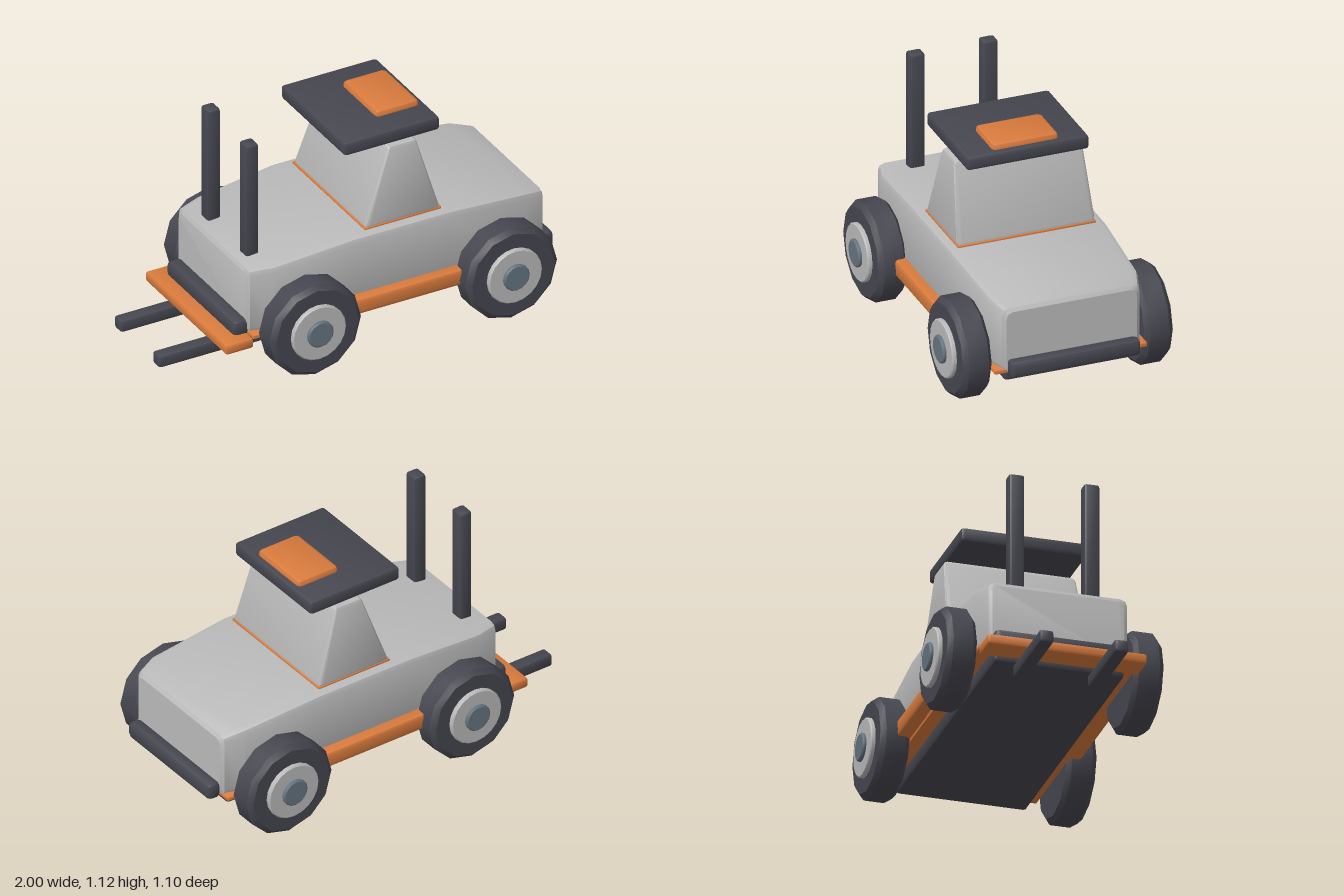
import * as THREE from 'three';
import { toCreasedNormals } from 'three/addons/utils/BufferGeometryUtils.js';
import { RoundedBoxGeometry } from 'three/addons/geometries/RoundedBoxGeometry.js';

const material = (name, color) => {
  const m = new THREE.MeshStandardMaterial({ color });
  m.name = name;
  return m;
};

export function createModel() {
  const grey = material('light grey', 0xbababa);
  const dark = material('charcoal', 0x464650);
  const orange = material('orange', 0xd87a3c);
  const steel = material('steel blue', 0x667480);
  const model = new THREE.Group();
  model.name = 'utilityVehicle';

  const add = (name, geometry, mat) => {
    const mesh = new THREE.Mesh(geometry, mat);
    mesh.name = name;
    model.add(mesh);
    return mesh;
  };

  // Bevelled block given by its min and max on each axis
  const block = (name, mat, [x0, x1], [y0, y1], [z0, z1], r = 0.015) => {
    const g = toCreasedNormals(new RoundedBoxGeometry(x1 - x0, y1 - y0, z1 - z0, 1, r), 0.5);
    g.translate((x0 + x1) / 2, (y0 + y1) / 2, (z0 + z1) / 2);
    return add(name, g, mat);
  };

  // Body: cross-sections along x as [x, half width, top height]
  const stations = [
    [-0.605, 0.315, 0.515], [-0.595, 0.33, 0.533], [-0.48, 0.365, 0.543], [-0.08, 0.387, 0.583],
    [0.42, 0.387, 0.583], [0.83, 0.368, 0.547], [0.925, 0.337, 0.522], [0.938, 0.32, 0.505],
  ];
  const rings = stations.map(([x, w, top]) => {
    const half = [[w - 0.01, 0.21], [w, 0.23], [w, top - 0.032], [w - 0.009, top - 0.009], [w - 0.032, top]];
    const mirrored = half.map(([z, y]) => [-z, y]).reverse();
    return [...half, ...mirrored].map(([z, y]) => [x, y, z]);
  });
  const n = rings[0].length;
  const positions = rings.flat(2);
  const index = [];
  for (let i = 0; i < rings.length - 1; i++) {
    for (let j = 0; j < n; j++) {
      const k = (j + 1) % n;
      const a = i * n + j, b = i * n + k, c = a + n, d = b + n;
      index.push(a, c, b, b, c, d);
    }
  }
  const last = (rings.length - 1) * n;
  for (let j = 1; j < n - 1; j++) {
    index.push(0, j, j + 1);
    index.push(last, last + j + 1, last + j);
  }
  const bodyGeometry = new THREE.BufferGeometry();
  bodyGeometry.setAttribute('position', new THREE.Float32BufferAttribute(positions, 3));
  bodyGeometry.setIndex(index);
  add('body', toCreasedNormals(bodyGeometry, 0.5), grey);

  // Cabin: bevelled box tapered towards the roof
  const cabin = new RoundedBoxGeometry(0.4, 0.39, 0.68, 1, 0.02);
  const p = cabin.attributes.position;
  for (let i = 0; i < p.count; i++) {
    const t = (p.getY(i) + 0.195) / 0.39;
    p.setXYZ(i, 0.2 + 0.012 * t + p.getX(i) * (1 - 0.64 * t), p.getY(i) + 0.775,
      p.getZ(i) * (1 - 0.08 * t));
  }
  add('cabin', toCreasedNormals(cabin, 0.5), grey);
  block('cabinTrim', orange, [0, 0.4], [0.57, 0.592], [-0.34, 0.34], 0.005);

  // Roof with its hatch
  block('roof', dark, [-0.083, 0.415], [0.975, 1.043], [-0.3, 0.3]);
  block('roofHatch', orange, [0.16, 0.385], [0.966, 1.07], [-0.163, 0.163], 0.02);

  // Underside and bumpers
  block('basePlate', orange, [-0.6, 0.932], [0.195, 0.216], [-0.375, 0.375], 0.005);
  block('chassis', dark, [-0.62, 0.89], [0.13, 0.21], [-0.31, 0.31]);
  block('frontBumper', dark, [0.93, 1], [0.19, 0.272], [-0.32, 0.32], 0.022);
  block('rearBumper', dark, [-0.67, -0.585], [0.19, 0.272], [-0.32, 0.32], 0.022);
  block('forkCarriage', orange, [-0.745, -0.6], [0.155, 0.205], [-0.38, 0.38], 0.012);

  // Turned part along z, from a profile of [radius, distance from centre line]
  const turned = (name, mat, profile, sides, x, side) => {
    const g = new THREE.LatheGeometry(profile.map(([r, h]) => new THREE.Vector2(r, h)), sides);
    g.rotateX(side * Math.PI / 2);
    g.deleteAttribute('uv');
    add(name, toCreasedNormals(g, 0.56), mat).position.set(x, 0.239, 0);
  };

  for (const side of [1, -1]) {
    const label = side > 0 ? 'left' : 'right';
    const span = (a, b) => (side > 0 ? [a, b] : [-b, -a]);
    block(label + 'Sill', orange, [-0.3, 0.62], [0.21, 0.29], span(0.34, 0.44));
    block(label + 'Mast', dark, [-0.547, -0.482], [0.48, 1.118], span(0.142, 0.216), 0.012);
    block(label + 'Fork', dark, [-1, -0.58], [0.073, 0.135], span(0.145, 0.212), 0.012);

    for (const [end, x] of [['Rear', -0.345], ['Front', 0.677]]) {
      turned(label + end + 'Tyre', dark,
        [[0, 0.375], [0.215, 0.375], [0.239, 0.395], [0.239, 0.492], [0.215, 0.515], [0, 0.515]], 12, x, side);
      turned(label + end + 'Hub', grey,
        [[0, 0.5], [0.14, 0.5], [0.14, 0.53], [0.134, 0.536], [0, 0.536]], 20, x, side);
      turned(label + end + 'HubCap', steel,
        [[0, 0.53], [0.067, 0.53], [0.067, 0.546], [0.06, 0.552], [0, 0.552]], 16, x, side);
    }
  }
  return model;
}
